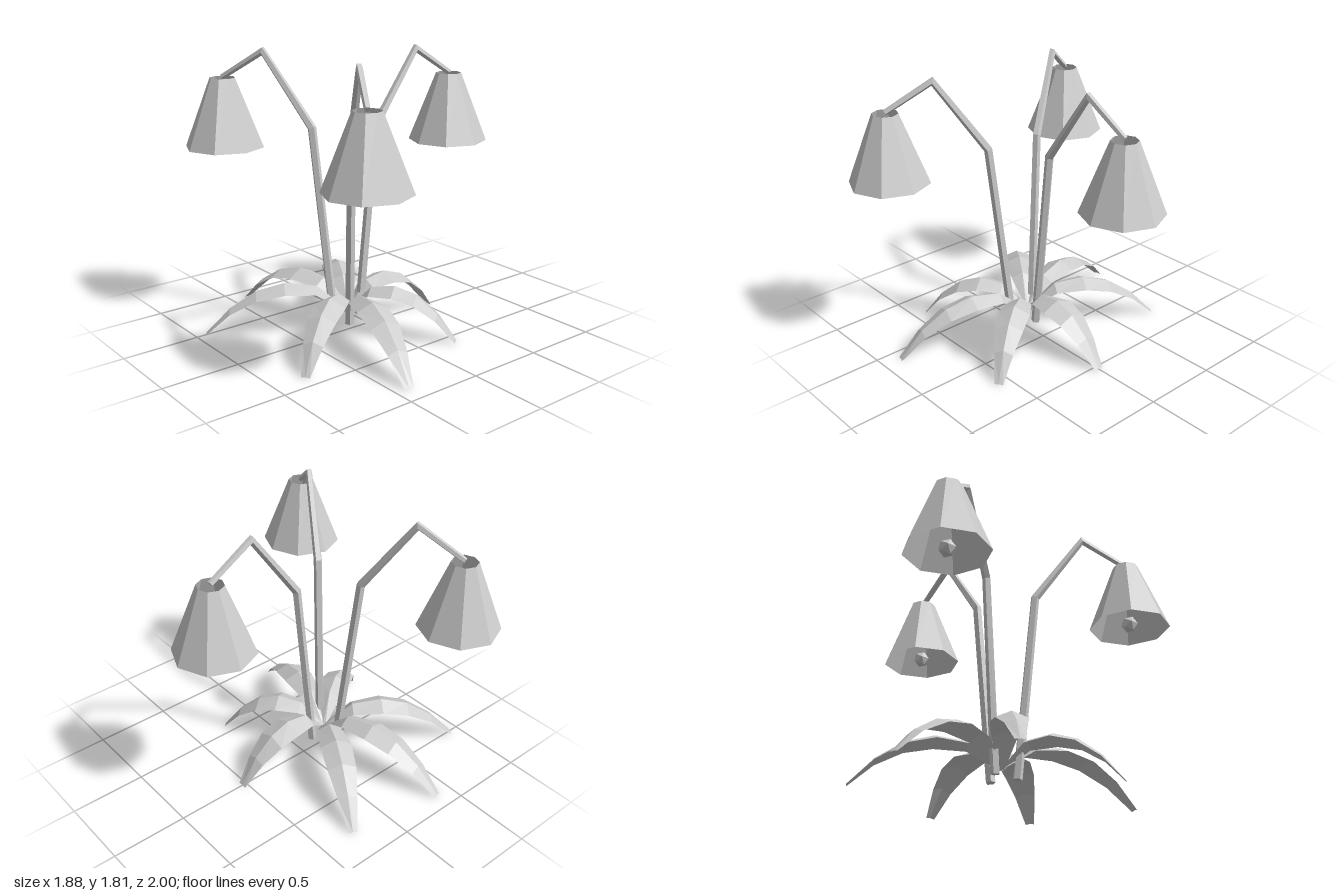
import * as THREE from 'three';

const grey = new THREE.MeshStandardMaterial({ color: 0xcccccc, flatShading: true, side: THREE.DoubleSide });
grey.name = 'plain grey';
const CENTRE_X = -0.173;

// Joins equal-length cross-sections into a surface.
function loft(rings, closed) {
  const n = rings[0].length, index = [];
  for (let i = 0; i < rings.length - 1; i++) {
    for (let j = 0; j < (closed ? n : n - 1); j++) {
      const a = i * n + j, b = i * n + (j + 1) % n;
      index.push(a, b, a + n, b, b + n, a + n);
    }
  }
  if (closed) {
    const last = (rings.length - 1) * n;
    for (let j = 1; j < n - 1; j++) index.push(0, j + 1, j, last, last + j, last + j + 1);
  }
  const geometry = new THREE.BufferGeometry();
  geometry.setAttribute('position', new THREE.Float32BufferAttribute(rings.flat(2), 3));
  geometry.setIndex(index);
  const flat = geometry.toNonIndexed();
  flat.computeVertexNormals();
  return flat;
}

// Bent five-sided stem, mitred at its joints: [radius out, height, thickness]
function stemGeometry() {
  const path = [[0.098, 0.086, 0.03], [0.232, 1.318, 0.028], [0.562, 1.782, 0.022], [0.855, 1.605, 0.019]];
  const direction = (i) => new THREE.Vector2(path[i + 1][0] - path[i][0], path[i + 1][1] - path[i][1]).normalize();
  const rings = path.map(([x, y, r], i) => {
    const before = direction(Math.max(i - 1, 0));
    const after = direction(Math.min(i, path.length - 2));
    const along = before.clone().add(after).normalize();
    const stretch = r / along.dot(before);
    return Array.from({ length: 5 }, (_, k) => {
      const a = k * Math.PI * 2 / 5, u = Math.cos(a) * stretch;
      return [x + along.y * u, y - along.x * u, -Math.sin(a) * r];
    });
  });
  return loft(rings, true);
}

// Arching leaf with a raised midrib: [fraction of length, rib height, edge drop, half width]
function leafGeometry(length, width) {
  const stations = [
    [0, 0.14, 0, 0.018], [0.22, 0.31, 0.04, 0.075], [0.44, 0.335, 0.05, 0.104],
    [0.64, 0.285, 0.04, 0.094], [0.83, 0.172, 0.025, 0.063], [1, 0.004, 0.004, 0.028],
  ];
  return loft(stations.map(([t, y, drop, w]) => [
    [t * length, y - drop, -w * width],
    [t * length, y, 0],
    [t * length, y - drop, w * width],
  ]), false);
}

export function createModel() {
  const model = new THREE.Group();
  model.name = 'flowerLamp';
  const add = (name, geometry, x, y, z, turn = 0) => {
    const mesh = new THREE.Mesh(geometry, grey);
    mesh.name = name;
    mesh.position.set(x, y, z);
    mesh.rotation.y = -turn;
    model.add(mesh);
  };

  // Three stems, each carrying an open bell shade and a bulb
  const stem = stemGeometry();
  const shade = new THREE.CylinderGeometry(0.083, 0.259, 0.45, 8, 1, true);
  const bulb = new THREE.IcosahedronGeometry(0.055, 0);
  for (let i = 0; i < 3; i++) {
    const turn = i * Math.PI * 2 / 3;
    const x = CENTRE_X + 0.855 * Math.cos(turn), z = 0.855 * Math.sin(turn);
    add('stem', stem, CENTRE_X, 0, 0, turn);
    add('shade', shade, x, 1.375, z);
    add('bulb', bulb, x, 1.176, z);
  }

  // Ring of leaves: [direction in degrees, length, width scale]
  const leaves = [
    [0, 0.705, 1.1], [55, 0.715, 1], [105, 0.91, 1], [147, 0.735, 1],
    [214, 0.91, 1], [257, 0.92, 1], [299, 0.9, 1],
  ];
  for (const [degrees, length, width] of leaves) {
    add('leaf', leafGeometry(length, width), CENTRE_X, 0, 0, THREE.MathUtils.degToRad(degrees));
  }
  return model;
}
